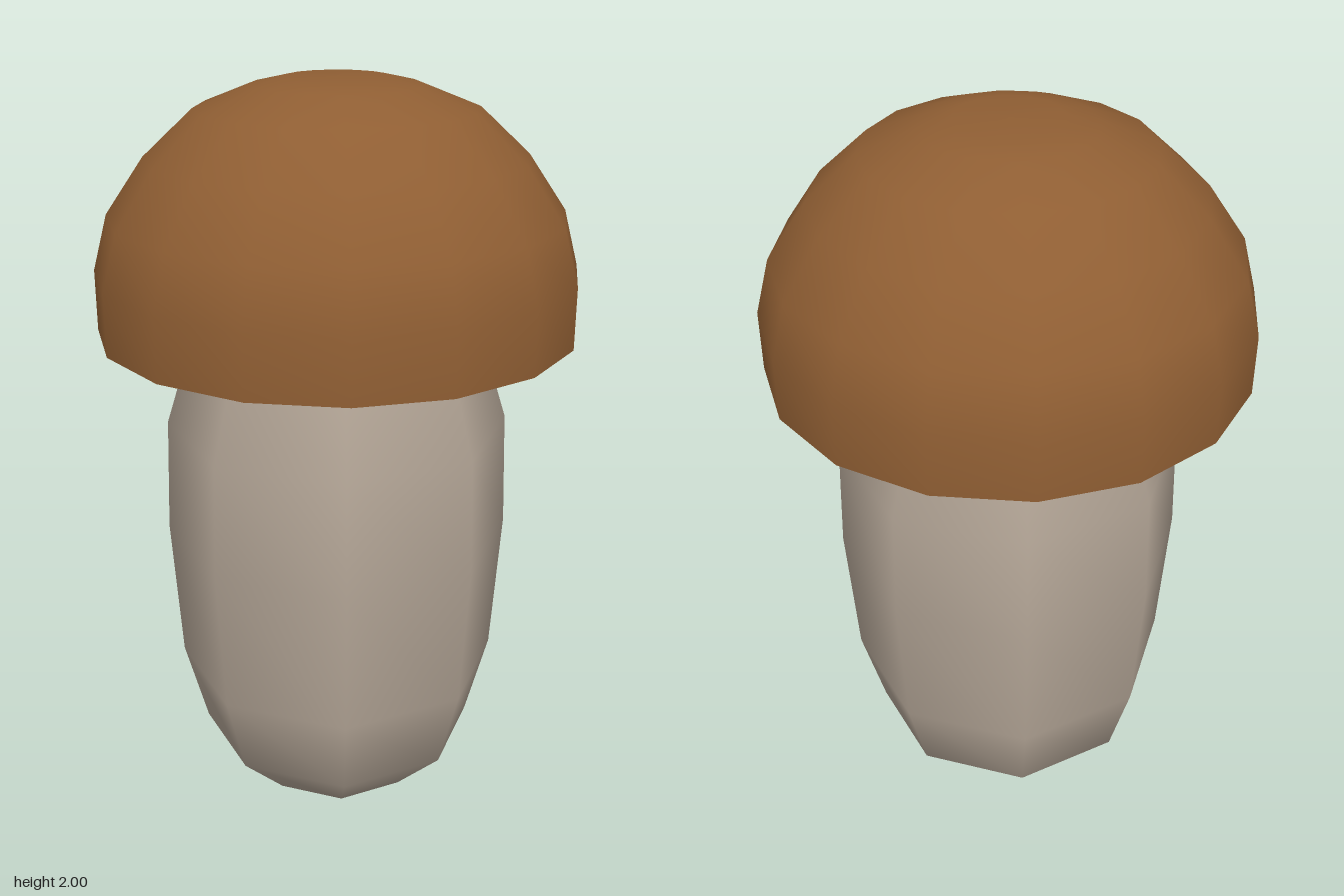
import * as THREE from 'three';

// Revolves a profile of [radius, height] points, listed from bottom to top
function lathe(name, profile, sides, color) {
  const points = profile.map(([r, y]) => new THREE.Vector2(r, y));
  const mesh = new THREE.Mesh(
    new THREE.LatheGeometry(points, sides),
    new THREE.MeshStandardMaterial({ color })
  );
  mesh.name = name;
  return mesh;
}

export function createModel() {
  const group = new THREE.Group();
  group.name = 'mushroom';

  // Plump eight-sided stem, pointed at the foot
  group.add(lathe('stem', [
    [0, 0], [0.23, 0.08], [0.37, 0.22], [0.43, 0.44],
    [0.455, 0.82], [0.445, 1.12], [0.37, 1.36],
  ], 8, 0xb3a596));

  // Pale underside, a separate surface so the rim stays crisp
  group.add(lathe('capUnderside', [
    [0.3, 1.355], [0.47, 1.355], [0.61, 1.375],
  ], 16, 0xa0948a));

  // Domed sixteen-sided cap
  group.add(lathe('cap', [
    [0.61, 1.375], [0.61, 1.53], [0.572, 1.67], [0.475, 1.81],
    [0.35, 1.925], [0.21, 1.98], [0.13, 1.998], [0, 2],
  ], 16, 0x8f5e33));

  return group;
}
